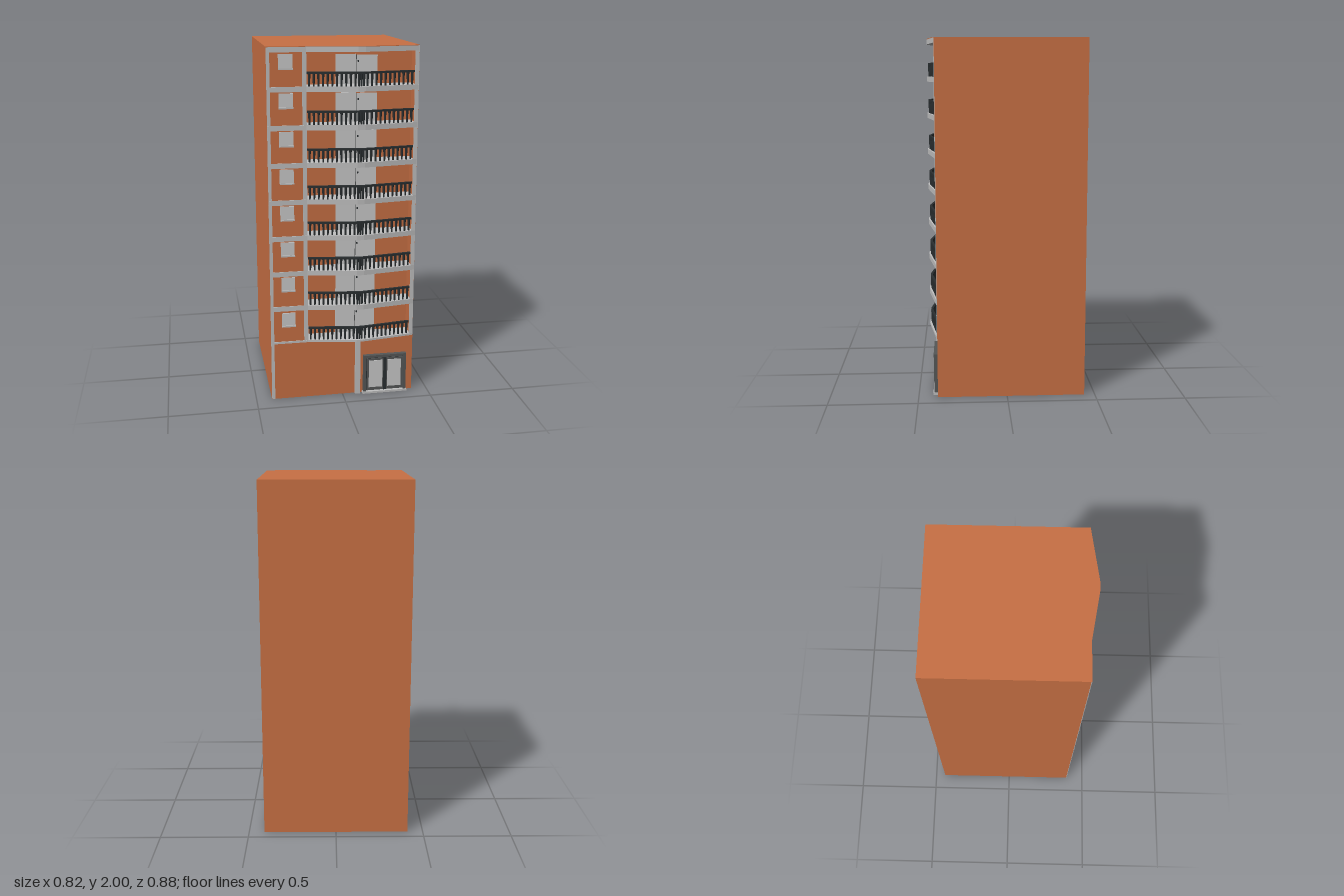
import * as THREE from 'three';

const mat = (name, color) => {
  const m = new THREE.MeshStandardMaterial({ color });
  m.name = name;
  return m;
};

export function createModel() {
  const brick = mat('terracotta wall', 0xc87044);
  const trim = mat('pale grey trim', 0xc0c0c0);
  const pane = mat('light pane', 0xcacaca);
  const iron = mat('dark iron', 0x2a2f31);
  const frameGrey = mat('door frame grey', 0x555757);
  const model = new THREE.Group();
  model.name = 'apartmentBlock';

  const add = (parent, name, geo, material) => {
    const m = new THREE.Mesh(geo, material);
    m.name = name;
    parent.add(m);
    return m;
  };
  // Box given by its lower and upper corners
  const box = (parent, name, material, x0, x1, y0, y1, z0, z1) => {
    const m = add(parent, name, new THREE.BoxGeometry(x1 - x0, y1 - y0, z1 - z0), material);
    m.position.set((x0 + x1) / 2, (y0 + y1) / 2, (z0 + z1) / 2);
    return m;
  };
  // Prism raised from a plan outline of [x, z] points
  const prism = (parent, name, material, plan, y0, y1) => {
    const shape = new THREE.Shape(plan.map(([x, z]) => new THREE.Vector2(x, -z)));
    const geo = new THREE.ExtrudeGeometry(shape, { depth: y1 - y0, bevelEnabled: false });
    geo.rotateX(-Math.PI / 2).translate(0, y0, 0);
    return add(parent, name, geo, material);
  };

  const W = 0.412, back = -0.44, front = 0.392, recess = 0.305;
  const bow = [[0.41, 0.395], [0.11, 0.44], [0.07, 0.44], [-0.2, 0.396], [-0.41, 0.396]];

  // Walls: solid ground floor, then a storey plan with the balcony recess
  box(model, 'groundFloor', brick, -W, W, 0, 0.345, back, front);
  prism(model, 'upperWalls', brick, [
    [-W, back], [W, back], [W, front], [0.393, front], [0.393, recess],
    [-0.2, recess], [-0.2, front], [-W, front],
  ], 0.345, 1.997);
  prism(model, 'roof', brick, [[-W, back], [W, back], ...bow.map(([x, z]) => [Math.sign(x) * Math.max(Math.abs(x), Math.abs(x) > 0.4 ? W : 0), z])], 1.997, 2);

  // Vertical trim strips
  box(model, 'leftCornerStrip', trim, -0.411, -0.393, 0, 1.997, front - 0.004, 0.395);
  box(model, 'bayStrip', trim, -0.222, -0.199, 0.345, 1.997, front - 0.01, 0.395);
  box(model, 'rightCornerStrip', trim, 0.39, 0.411, 0.345, 1.997, front - 0.004, 0.395);
  box(model, 'groundPilaster', trim, 0.072, 0.102, 0, 0.342, front - 0.004, 0.408);

  // Bowed slabs, one below each storey and one under the roof
  const slabPlan = [[-0.41, recess - 0.01], [0.41, recess - 0.01], ...bow];
  const slab = (y0, y1) => prism(model, 'floorSlab', trim, slabPlan, y0, y1);
  slab(0.34, 0.352);
  for (let i = 1; i < 8; i++) slab(0.355 + i * 0.2045 - 0.024, 0.355 + i * 0.2045 + 0.004);
  slab(1.97, 1.997);

  // Railing line set back from the bowed slab edge
  const rail = [[-0.196, 0.386], [0.07, 0.426], [0.11, 0.426], [0.388, 0.386]];
  const railGeo = (() => {
    const outer = rail.map(([x, z]) => [x, z + 0.007]);
    const inner = rail.map(([x, z]) => [x, z - 0.007]).reverse();
    return [...outer, ...inner];
  })();
  const balusterGeo = new THREE.CylinderGeometry(0.0075, 0.005, 0.066, 6);
  const addRailing = (parent) => {
    prism(parent, 'handRail', iron, railGeo, 0.066, 0.077);
    const spans = [[0, 11], [1, 3], [2, 11]];
    for (const [s, n] of spans) {
      const [a, b] = [rail[s], rail[s + 1]];
      for (let k = 0; k < n; k++) {
        const t = (k + 0.5) / n;
        add(parent, 'baluster', balusterGeo, iron)
          .position.set(a[0] + (b[0] - a[0]) * t, 0.034, a[1] + (b[1] - a[1]) * t);
      }
    }
  };

  // Everything repeated on the eight storeys
  for (let i = 0; i < 8; i++) {
    const storey = new THREE.Group();
    storey.name = 'storey';
    storey.position.y = i === 0 ? 0.352 : 0.358 + i * 0.2045;
    model.add(storey);

    box(storey, 'windowPane', pane, -0.348, -0.272, 0.097, 0.172, front - 0.004, 0.398);
    box(storey, 'windowSill', trim, -0.348, -0.27, 0.09, 0.098, front - 0.004, 0.405);

    box(storey, 'balconyDoorLeft', pane, -0.028, 0.083, 0, 0.16, recess - 0.004, recess + 0.007);
    box(storey, 'balconyDoorRight', pane, 0.087, 0.202, 0, 0.155, recess - 0.004, recess + 0.004);
    box(storey, 'doorSeam', frameGrey, 0.083, 0.087, 0, 0.155, recess - 0.004, recess + 0.003);
    box(storey, 'doorHandle', iron, 0.092, 0.099, 0.118, 0.128, recess, recess + 0.01);
    addRailing(storey);
  }

  // Entrance: outer frame, two glazed leaves and a low step
  const entrance = new THREE.Group();
  entrance.name = 'entrance';
  model.add(entrance);
  box(entrance, 'doorBacking', iron, 0.13, 0.362, 0.01, 0.225, front - 0.004, 0.397);
  for (const [x0, x1] of [[0.12, 0.136], [0.356, 0.372]])
    box(entrance, 'doorJamb', frameGrey, x0, x1, 0.01, 0.225, front - 0.004, 0.413);
  box(entrance, 'doorLintel', frameGrey, 0.12, 0.372, 0.222, 0.237, front - 0.004, 0.415);
  for (const c of [0.194, 0.304]) {
    box(entrance, 'doorLeaf', frameGrey, c - 0.051, c + 0.051, 0.012, 0.212, front, 0.401);
    box(entrance, 'doorGlass', pane, c - 0.04, c + 0.04, 0.032, 0.2, front, 0.404);
  }
  box(entrance, 'doorMullion', iron, 0.24, 0.258, 0.012, 0.215, front, 0.405);
  box(entrance, 'doorStep', trim, 0.115, 0.377, 0, 0.012, front - 0.004, 0.418);

  return model;
}
